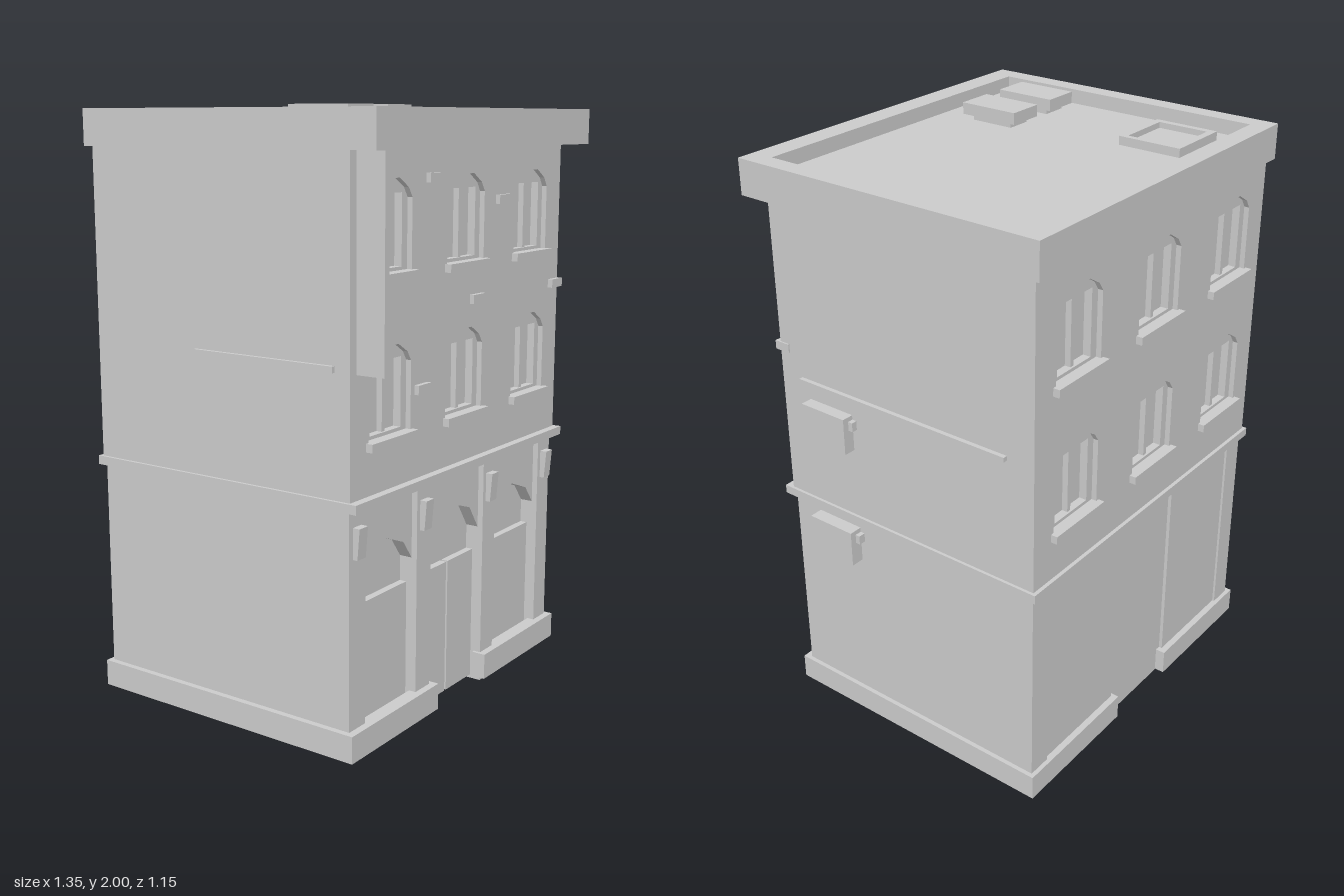
import * as THREE from 'three';

export function createModel() {
  const root = new THREE.Group();
  const mat = new THREE.MeshStandardMaterial({ color: 0xcccccc, flatShading: true });

  const add = (name, geo, parent = root) => {
    const m = new THREE.Mesh(geo, mat);
    m.name = name;
    parent.add(m);
    return m;
  };
  // Box given by its limits on each axis
  const box = (name, x0, x1, y0, y1, z0, z1, parent = root) =>
    add(name, new THREE.BoxGeometry(x1 - x0, y1 - y0, z1 - z0)
      .translate((x0 + x1) / 2, (y0 + y1) / 2, (z0 + z1) / 2), parent);
  const poly = (pts, Type = THREE.Shape) => new Type(pts.map(p => new THREE.Vector2(p[0], p[1])));
  const rect = (x0, x1, y0, y1) => [[x0, y0], [x1, y0], [x1, y1], [x0, y1]];
  // Slab cut from an outline with holes, from z0 to z1
  const slab = (name, outline, holes, z0, z1, parent = root) => {
    const s = poly(outline);
    s.holes = holes.map(h => poly(h, THREE.Path));
    return add(name, new THREE.ExtrudeGeometry(s, { depth: z1 - z0, bevelEnabled: false })
      .translate(0, 0, z0), parent);
  };
  // Same, lying flat: outline is in x and z
  const flatRing = (name, o, i, y0, y1) => {
    const flip = r => rect(r[0], r[1], -r[3], -r[2]);
    const m = slab(name, flip(o), [flip(i)], y0, y1);
    m.geometry.rotateX(-Math.PI / 2);
    return m;
  };

  // Upper storeys: core with pierced front and back walls
  const winX = [-0.455, -0.02, 0.415], winY = [1.005, 1.505];
  const archWindow = (x, y) => [[-0.115, 0], [0.115, 0], [0.115, 0.22], [0.095, 0.25], [0.045, 0.28],
    [-0.045, 0.28], [-0.095, 0.25], [-0.115, 0.22]].map(p => [p[0] + x, p[1] + y]);
  const openings = winX.flatMap(x => winY.map(y => archWindow(x, y)));
  const wall = rect(-0.665, 0.63, 0.82, 1.9);
  box('upperCore', -0.665, 0.63, 0.82, 1.9, -0.5, 0.425);
  slab('frontWall', wall, openings, 0.425, 0.475);
  slab('backWall', wall, openings, -0.55, -0.5);

  // Windows: recessed frame, mullion and sill on both faces
  for (const front of [true, false]) {
    for (const x of winX) for (const y of winY) {
      const g = new THREE.Group();
      g.name = 'window';
      slab('windowFrame', archWindow(0, 0), [rect(-0.085, 0.085, 0.012, 0.235)], -0.045, -0.018, g);
      box('mullion', -0.008, 0.008, 0.012, 0.235, -0.045, -0.025, g);
      box('sill', -0.127, 0.127, -0.026, 0.001, -0.04, 0.023, g);
      g.position.set(x, y, front ? 0.475 : -0.55);
      if (!front) g.rotation.y = Math.PI;
      root.add(g);
    }
  }

  // Roof: cornice ring, deck, skylight and two vents
  flatRing('cornice', [-0.68, 0.645, -0.573, 0.575], [-0.615, 0.58, -0.505, 0.495], 1.87, 1.99);
  box('roofDeck', -0.64, 0.61, 1.875, 1.94, -0.53, 0.52);
  flatRing('skylightFrame', [-0.54, -0.305, -0.425, -0.195], [-0.517, -0.325, -0.4, -0.218], 1.94, 1.97);
  box('skylightPane', -0.52, -0.32, 1.935, 1.95, -0.405, -0.21);
  for (const x of [-0.49, -0.285]) {
    box('ventBase', x - 0.045, x + 0.045, 1.935, 1.965, 0.2, 0.36);
    box('vent', x - 0.065, x + 0.065, 1.96, 2.0, 0.17, 0.39);
  }

  // Band between ground floor and upper storeys
  box('stringCourse', -0.675, 0.64, 0.81, 0.84, -0.563, 0.503);

  // Ground floor: piers run from front to back, filled between
  const piers = [[-0.655, -0.57, 0.02], [-0.28, -0.197, 0], [0.142, 0.225, 0], [0.54, 0.625, 0.02]];
  piers.forEach(([a, b, y], i) => {
    const inner = i === 1 || i === 2;
    box('pier', a, b, y, 0.82, inner ? -0.537 : -0.545, 0.465);
    // Lamp on the pier, leaning out towards the top
    const c = (a + b) / 2 - 0.002;
    const lamp = new THREE.BoxGeometry(0.044, 0.1, 0.03).translate(c, 0.706, 0.475);
    const p = lamp.attributes.position;
    for (let k = 0; k < p.count; k++)
      if (p.getZ(k) > 0.47 && p.getY(k) < 0.7) p.setZ(k, 0.482);
    lamp.computeVertexNormals();
    add('pierLamp', lamp);
  });
  const bays = [[-0.57, -0.28, 0.667, 0.1], [-0.197, 0.142, 0.685, 0.012], [0.225, 0.54, 0.667, 0.1]];
  bays.forEach(([a, b, top, low], i) => {
    const mid = i === 1, w = b - a, c = (a + b) / 2;
    const arch = [[a, 0.565], [a + 0.17 * w, top - 0.037], [c, top], [b - 0.17 * w, top - 0.037], [b, 0.565]];
    slab('archWall', [...arch, [b, 0.82], [a, 0.82]], [], 0.4, 0.445);
    box('bayFill', a, b, mid ? 0.012 : 0.06, 0.82, mid ? -0.525 : -0.537, 0.4);
    // Shop panels; the middle bay has double doors
    if (mid) {
      box('doorLeft', a, c - 0.005, low, 0.48, 0.39, 0.425);
      box('doorRight', c + 0.005, b, low, 0.48, 0.39, 0.425);
    } else box('shopPanel', a, b, 0.03, 0.48, 0.39, 0.425);
  });

  // Plinth with a gap at the doors, front and back
  for (const [a, b, s0, s1] of [[-0.675, -0.177, -0.675, -0.64], [0.13, 0.64, 0.605, 0.64]]) {
    box('plinthFront', a, b, 0.015, 0.105, 0.44, 0.49);
    box('plinthBack', a, b, 0.015, 0.105, -0.56, -0.52);
    box('plinthSide', s0, s1, 0.015, 0.105, -0.56, 0.49);
  }

  // Stray projecting bricks
  for (const [x, y] of [[-0.225, 1.78], [0.207, 1.695], [0.048, 1.377], [-0.282, 1.127]])
    box('brick', x - 0.037, x + 0.037, y - 0.015, y + 0.015, 0.46, 0.491);
  box('cornerBrick', 0.56, 0.635, 1.362, 1.392, 0.435, 0.493);

  // Blank blade sign hanging under the cornice
  box('bladeSign', -0.633, -0.61, 1.222, 1.88, 0.46, 0.574);

  // Side ledges and wall units
  box('ledgeLeft', 0.62, 0.645, 1.272, 1.288, -0.45, 0.385);
  box('ledgeRight', -0.678, -0.65, 1.228, 1.248, -0.12, 0.42);
  for (const y of [1.09, 0.66]) {
    box('wallUnit', 0.615, 0.672, y, y + 0.128, 0.172, 0.355);
    box('wallUnitPipe', 0.615, 0.65, y + 0.08, y + 0.112, 0.155, 0.175);
  }
  return root;
}
